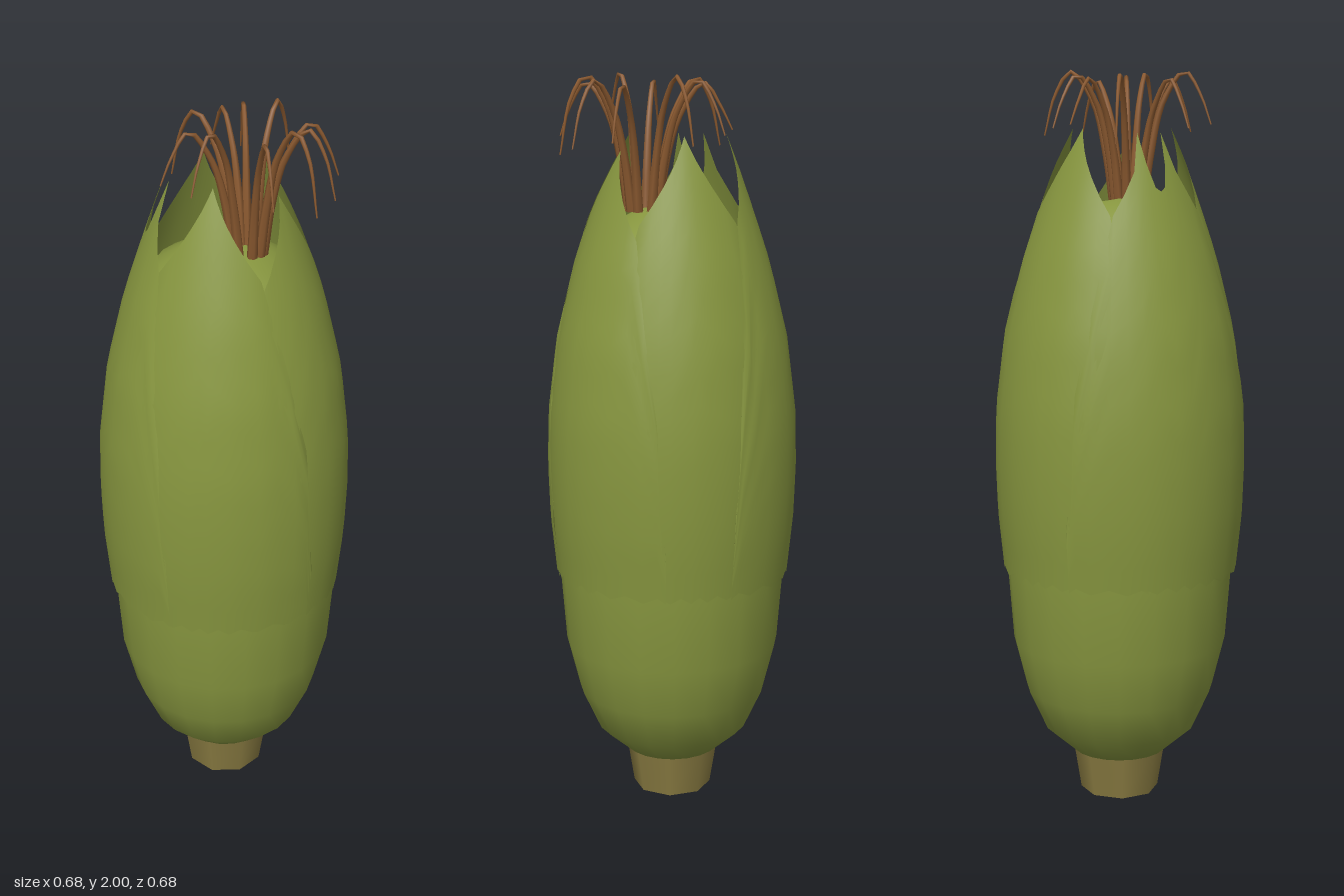
import * as THREE from 'three';

const green = new THREE.MeshStandardMaterial({ color: 0x87963f });
green.name = 'huskGreen';
const leafGreen = new THREE.MeshStandardMaterial({ color: 0x87963f, side: THREE.DoubleSide });
leafGreen.name = 'leafGreen';
const tan = new THREE.MeshStandardMaterial({ color: 0x8a7c42 });
tan.name = 'stalkTan';
const brown = new THREE.MeshStandardMaterial({ color: 0x8c5a30 });
brown.name = 'silkBrown';

// Piecewise linear lookup in a list of [key, value]
function lookup(table, k) {
  for (let i = 1; i < table.length; i++) {
    const [k0, v0] = table[i - 1], [k1, v1] = table[i];
    if (k <= k1) return v0 + (v1 - v0) * (k - k0) / (k1 - k0);
  }
  return table[table.length - 1][1];
}

// Husk radius by height
const HUSK = [[0.6, 0.311], [0.65, 0.315], [0.8, 0.33], [0.95, 0.335], [1.1, 0.331], [1.3, 0.306],
  [1.5, 0.257], [1.63, 0.214], [1.75, 0.172], [1.84, 0.137]];
// Leaf top height by degrees away from the leaf's middle
const POINTED = [[0, 1.84], [10, 1.775], [20, 1.715], [36, 1.62], [45, 1.4], [52, 1.17], [56, 0.8]];
const NOTCHED = [[0, 1.68], [4, 1.69], [9, 1.75], [14, 1.83], [20, 1.73], [36, 1.62], [45, 1.4], [52, 1.17], [56, 0.8]];
const STEPS = [0, 4, 9, 14, 20, 28, 36, 45, 52, 56];

// One wrapped leaf, a sheet whose columns rise to the pointed top edge
function makeLeaf(name, middle, lift, tops, drop) {
  const offsets = [...STEPS.slice(1).reverse().map(a => -a), ...STEPS];
  const rows = 16, pos = [], index = [];
  offsets.forEach((off, c) => {
    const a = THREE.MathUtils.degToRad(middle + off);
    const top = lookup(tops, Math.abs(off)) - drop;
    const bottom = 0.65 + (c % 2 ? 0.008 : -0.008);
    for (let r = 0; r <= rows; r++) {
      const y = bottom + (top - bottom) * r / rows;
      const rad = lookup(HUSK, y) + lift;
      pos.push(Math.sin(a) * rad, y, Math.cos(a) * rad);
      if (c && r) {
        const p = c * (rows + 1) + r, q = p - rows - 1;
        index.push(q - 1, p - 1, p, q - 1, p, q);
      }
    }
  });
  const g = new THREE.BufferGeometry();
  g.setAttribute('position', new THREE.Float32BufferAttribute(pos, 3));
  g.setIndex(index);
  g.computeVertexNormals();
  const mesh = new THREE.Mesh(g, leafGreen);
  mesh.name = name;
  return mesh;
}

// One silk strand: a tapered tube arching from the crown to its end
function makeStrand(x, z, peak, endY) {
  const cx = 0.08, dx = x - cx, dz = z, len = Math.hypot(dx, dz);
  const at = (r, y) => new THREE.Vector3(cx + dx / len * r, y, dz / len * r);
  const curve = new THREE.CatmullRomCurve3([
    at(0.04, 1.64), at(0.06, 1.77), at(len * 0.42, peak - 0.08),
    at(len * 0.68, peak), at(len * 0.87, peak - 0.06), at(len, endY)]);
  const n = 18, sides = 6;
  const g = new THREE.TubeGeometry(curve, n, 0.014, sides);
  const p = g.attributes.position, v = new THREE.Vector3();
  for (let i = 0; i < p.count; i++) {
    const t = Math.floor(i / (sides + 1)) / n, c = curve.getPointAt(t);
    v.fromBufferAttribute(p, i).sub(c).multiplyScalar(1 - 0.85 * t).add(c);
    p.setXYZ(i, v.x, v.y, v.z);
  }
  const mesh = new THREE.Mesh(g, brown);
  mesh.name = 'silkStrand';
  return mesh;
}

export function createModel() {
  const model = new THREE.Group();
  model.name = 'cornEar';

  // Stalk stub
  const stalk = new THREE.Mesh(new THREE.CylinderGeometry(0.128, 0.108, 0.125, 8), tan);
  stalk.name = 'stalk';
  stalk.position.y = 0.0625;
  stalk.rotation.y = Math.PI / 8;
  model.add(stalk);

  // Ear under the leaves, with a rounded crown
  const profile = [[0, 0.12], [0.13, 0.12], [0.21, 0.19], [0.26, 0.3], [0.295, 0.44], [0.311, 0.65], [0.315, 0.9],
    [0.31, 1.1], [0.285, 1.3], [0.235, 1.5], [0.18, 1.59], [0.09, 1.64], [0, 1.655]];
  const ear = new THREE.Mesh(new THREE.LatheGeometry(profile.map(([r, y]) => new THREE.Vector2(r, y)), 20), green);
  ear.name = 'ear';
  model.add(ear);

  // Five overlapping leaves, the front right one outermost and split at its tip
  const leaves = new THREE.Group();
  leaves.name = 'huskLeaves';
  leaves.add(
    makeLeaf('frontRightLeaf', 320, 0.008, NOTCHED, 0),
    makeLeaf('frontLeftLeaf', 31, 0.005, POINTED, 0),
    makeLeaf('rightLeaf', 246, 0.005, POINTED, 0),
    makeLeaf('leftLeaf', 102, 0.0025, POINTED, 0.04),
    makeLeaf('backLeaf', 174, 0, POINTED, 0));
  model.add(leaves);

  // Silk: end x, end z, peak height, end height
  const silk = new THREE.Group();
  silk.name = 'silk';
  [[0.02, -0.22, 1.99, 1.82], [0.22, -0.18, 1.97, 1.83], [0.295, -0.08, 1.98, 1.81], [0.305, 0, 1.99, 1.79],
    [0.27, 0.12, 1.97, 1.83], [0.1, 0.225, 1.99, 1.85], [-0.03, 0.2, 1.97, 1.84], [-0.15, 0.04, 1.98, 1.8],
    [-0.135, -0.09, 1.97, 1.85], [-0.09, -0.155, 1.98, 1.84]].forEach(s => silk.add(makeStrand(...s)));
  model.add(silk);
  return model;
}
